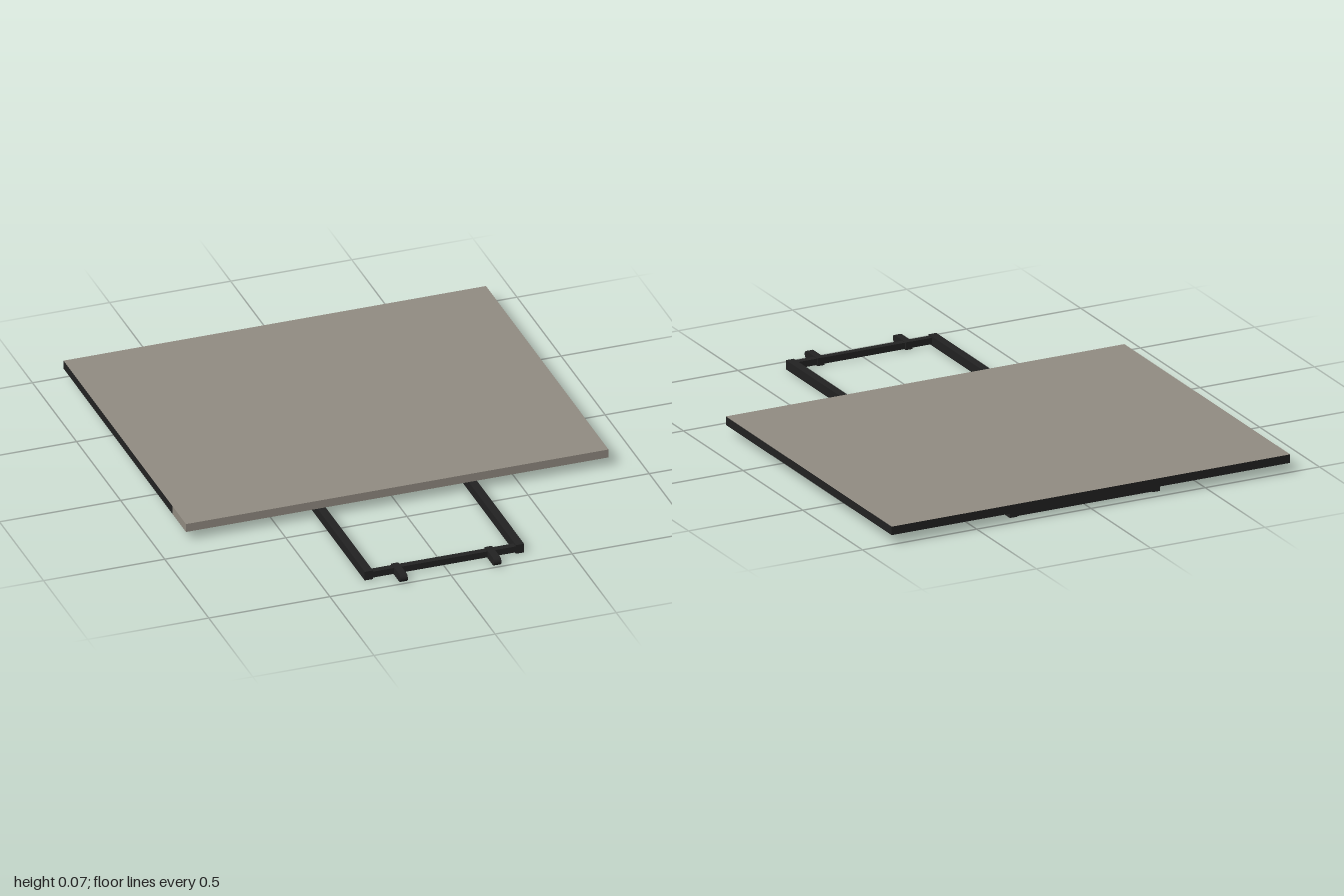
import * as THREE from 'three';

export function createModel() {
  const model = new THREE.Group();
  const grey = new THREE.MeshStandardMaterial({ color: 0x928c82 });
  grey.name = 'warm grey';
  const black = new THREE.MeshStandardMaterial({ color: 0x222222 });
  black.name = 'black';

  const add = (name, geometry, material, x, y, z) => {
    const mesh = new THREE.Mesh(geometry, material);
    mesh.name = name;
    mesh.position.set(x, y, z);
    model.add(mesh);
    return mesh;
  };

  // Flat panel: grey top and front, dark edges and underside, grey wrap at the front
  // Material order: +x, -x, top, bottom, front, back
  const panel = (name, z0, z1, materials) =>
    add(name, new THREE.BoxGeometry(1.744, 0.035, z1 - z0), materials, 0, 0.0565, (z0 + z1) / 2);
  panel('panelRear', -1, 0.235, [black, black, grey, black, grey, black]);
  panel('panelFront', 0.235, 0.39, [black, grey, grey, grey, grey, black]);

  // Bar with a square section between two points on the ground plan
  const bar = (name, x0, z0, x1, z1, width, height, y) => {
    const length = Math.hypot(x1 - x0, z1 - z0);
    const mesh = add(name, new THREE.BoxGeometry(width, height, length), black,
      (x0 + x1) / 2, y, (z0 + z1) / 2);
    mesh.rotation.y = Math.atan2(x1 - x0, z1 - z0);
  };

  // Side rails and the lugs at the front, mirrored
  const lugHeight = 0.032;
  for (const [side, s] of [['left', 1], ['right', -1]]) {
    bar(side + 'Rail', s * 0.312, -0.95, s * 0.312, 0.925, 0.034, 0.038, 0.019);
    bar(side + 'Lug', s * 0.193, 0.892, s * 0.193, 1 - lugHeight / 2, 0.03, lugHeight, 0.019);
    const tip = add(side + 'LugTip', new THREE.CylinderGeometry(lugHeight / 2, lugHeight / 2, 0.03, 20),
      black, s * 0.193, 0.019, 1 - lugHeight / 2);
    tip.rotation.z = Math.PI / 2;
  }

  // Cross bars and diagonal braces between the rails
  bar('frontCrossBar', -0.3, 0.911, 0.3, 0.911, 0.026, 0.026, 0.019);
  bar('middleCrossBar', -0.3, -0.36, 0.3, -0.36, 0.028, 0.03, 0.021);
  bar('rearCrossBar', -0.3, -0.935, 0.3, -0.935, 0.03, 0.034, 0.02);
  bar('rearBrace', 0.3, -0.92, -0.3, -0.37, 0.026, 0.028, 0.022);
  bar('frontBrace', 0.3, 0.2, -0.3, -0.35, 0.026, 0.028, 0.022);

  return model;
}
